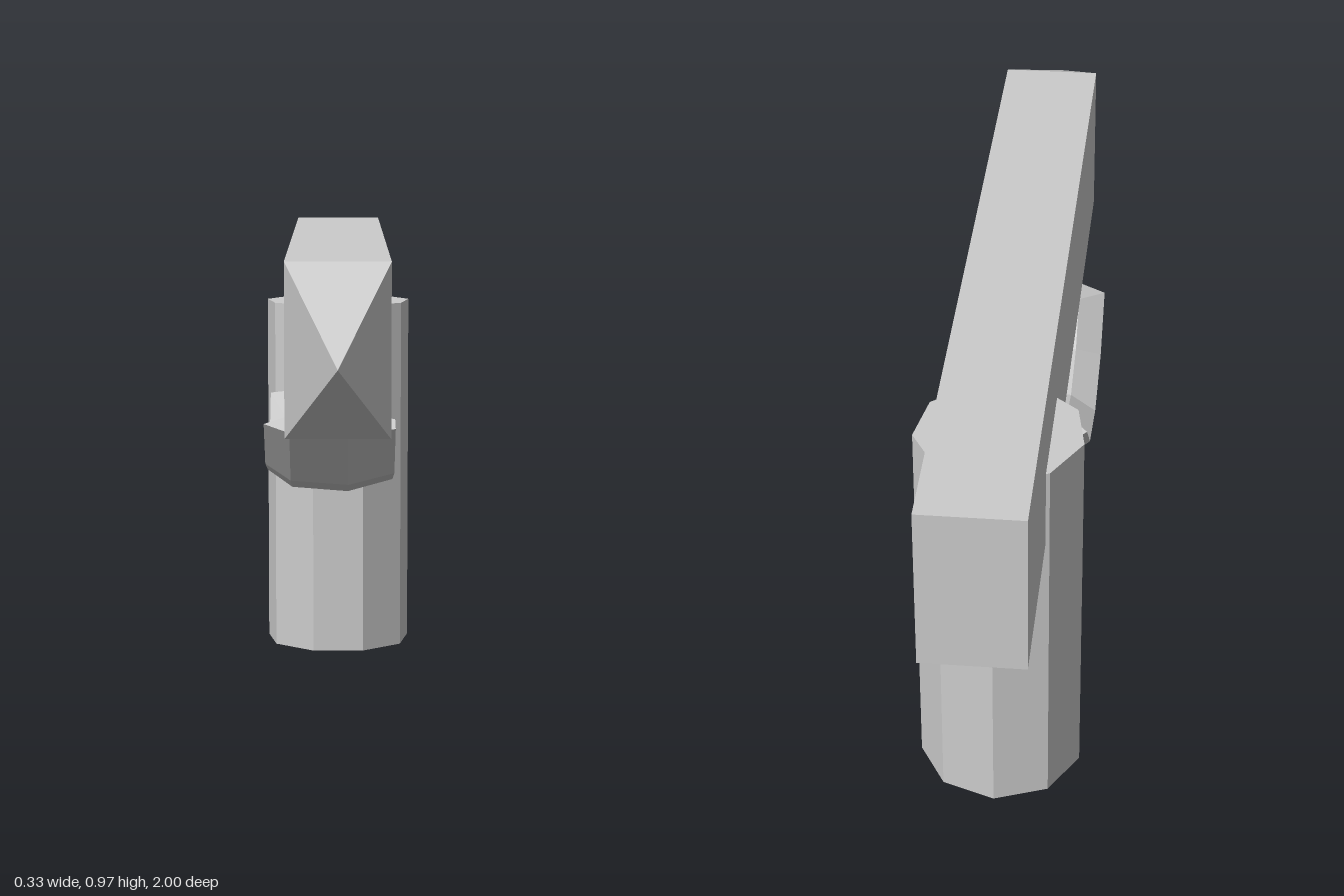
import * as THREE from 'three';

const material = new THREE.MeshStandardMaterial({ color: 0xcccccc, flatShading: true });

function addPart(group, name, geometry) {
  const flat = geometry.index ? geometry.toNonIndexed() : geometry;
  flat.computeVertexNormals();
  const mesh = new THREE.Mesh(flat, material);
  mesh.name = name;
  group.add(mesh);
  return mesh;
}

// Rectangular barrel whose front third tapers to a single point
function barrelGeometry() {
  const geometry = new THREE.BoxGeometry(0.2, 0.332, 2, 1, 1, 2);
  const p = geometry.attributes.position;
  for (let i = 0; i < p.count; i++) {
    const z = p.getZ(i);
    if (z > 0.5) p.setXYZ(i, 0, 0, 1);
    else if (z > -0.5) p.setZ(i, 0.667);
  }
  return geometry;
}

// Open elliptical arc with a wide seven-sided section and closed ends
function guardGeometry() {
  const sides = 7, steps = 4, points = [];
  const corner = (i, k) => {
    const turn = (i - steps / 2) * Math.PI / 5;
    const phi = (k % sides) * 2 * Math.PI / sides;
    const s = Math.sin(phi);
    return [
      -0.01 - 0.14 * Math.cos(phi),
      0.6745 - (0.192 + 0.0485 * s) * Math.cos(turn),
      0.035 + (0.281 + 0.0675 * s) * Math.sin(turn),
    ];
  };
  for (let i = 0; i < steps; i++) {
    for (let k = 0; k < sides; k++) {
      const a = corner(i, k), b = corner(i, k + 1);
      const c = corner(i + 1, k + 1), d = corner(i + 1, k);
      points.push(...a, ...b, ...d, ...b, ...c, ...d);
    }
  }
  for (let k = 1; k < sides - 1; k++) {
    points.push(...corner(0, 0), ...corner(0, k + 1), ...corner(0, k));
    points.push(...corner(steps, 0), ...corner(steps, k), ...corner(steps, k + 1));
  }
  const geometry = new THREE.BufferGeometry();
  geometry.setAttribute('position', new THREE.Float32BufferAttribute(points, 3));
  return geometry;
}

export function createModel() {
  const model = new THREE.Group();
  model.name = 'blaster';

  addPart(model, 'barrel', barrelGeometry()).position.y = 0.801;

  // Nine-sided grip, flat side forward
  const grip = addPart(model, 'grip', new THREE.CylinderGeometry(0.167, 0.167, 0.8, 9));
  grip.rotation.y = Math.PI;
  grip.position.set(0, 0.4, -0.505);

  addPart(model, 'triggerGuard', guardGeometry());
  return model;
}
